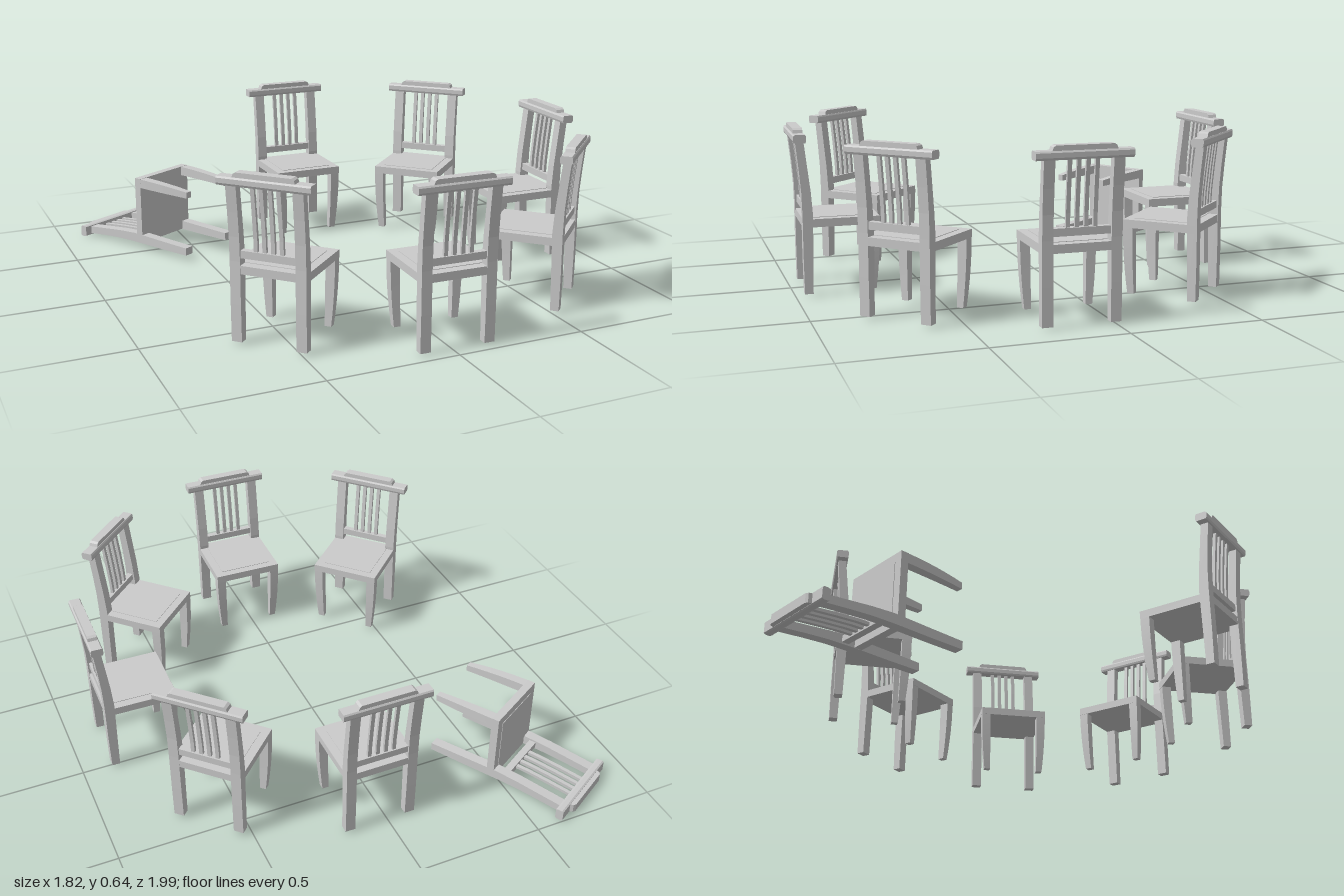
import * as THREE from 'three';

const material = new THREE.MeshStandardMaterial({ color: 0xcccccc });

function addPart(group, name, geometry, x = 0, y = 0, z = 0) {
  const mesh = new THREE.Mesh(geometry, material);
  mesh.name = name;
  mesh.position.set(x, y, z);
  group.add(mesh);
}

// Box given by its spans in y and z, centred on x
function span(width, y0, y1, z0, z1) {
  return new THREE.BoxGeometry(width, y1 - y0, z1 - z0).translate(0, (y0 + y1) / 2, (z0 + z1) / 2);
}

// Side outline of [y, back z, front z] rows, extruded across x
function sideProfile(rows, width) {
  const back = rows.map(([y, b]) => new THREE.Vector2(b, y));
  const front = rows.map(([y, , f]) => new THREE.Vector2(f, y)).reverse();
  const geometry = new THREE.ExtrudeGeometry(new THREE.Shape([...back, ...front]), {
    depth: width, bevelEnabled: false,
  });
  return geometry.rotateY(-Math.PI / 2).translate(width / 2, 0, 0);
}

// Front leg whose outer faces sweep inward toward the foot
function frontLegGeometry(side) {
  const height = 0.275;
  const geometry = new THREE.BoxGeometry(1, height, 1, 1, 6, 1).translate(0, height / 2, 0);
  const p = geometry.attributes.position;
  for (let i = 0; i < p.count; i++) {
    const k = (1 - p.getY(i) / height) ** 2;
    const outer = 0.015 * k, inner = 0.003 * k;
    p.setX(i, side * (p.getX(i) * side > 0 ? 0.145 - outer : 0.107 - inner));
    p.setZ(i, p.getZ(i) > 0 ? 0.152 - outer : 0.114 - inner);
  }
  geometry.computeVertexNormals();
  return geometry;
}

function makeChair(name) {
  const chair = new THREE.Group();
  chair.name = name;

  // Seat frame with a nearly flush panel
  addPart(chair, 'seat', span(0.29, 0.255, 0.286, -0.136, 0.153));
  addPart(chair, 'seatPanel', span(0.222, 0.27, 0.288, -0.1, 0.12));

  // Legs and back posts
  const postRows = [
    [0, -0.137, -0.105], [0.14, -0.138, -0.102], [0.3, -0.137, -0.098],
    [0.39, -0.139, -0.104], [0.48, -0.146, -0.114], [0.58, -0.156, -0.125],
  ];
  for (const side of [-1, 1]) {
    addPart(chair, 'frontLeg', frontLegGeometry(side));
    addPart(chair, 'backPost', sideProfile(postRows, 0.04), side * 0.125);
  }

  // Back rail and slats
  addPart(chair, 'backRail', span(0.22, 0.312, 0.34, -0.131, -0.107));
  const slatRows = [
    [0.335, -0.125, -0.113], [0.39, -0.127, -0.115], [0.48, -0.135, -0.123], [0.58, -0.146, -0.134],
  ];
  for (let i = 0; i < 4; i++) {
    addPart(chair, 'slat', sideProfile(slatRows, 0.015), (i - 1.5) * 0.033);
  }

  // Crest rail with a slightly chamfered side profile
  addPart(chair, 'crestRail', sideProfile([
    [0.577, -0.161, -0.121], [0.585, -0.165, -0.118], [0.602, -0.165, -0.118], [0.608, -0.161, -0.122],
  ], 0.352));

  // Raised crown with sloped ends
  const crown = new THREE.Shape([
    [-0.118, 0.605], [0.118, 0.605], [0.113, 0.62], [0.104, 0.626], [-0.104, 0.626], [-0.113, 0.62],
  ].map(([x, y]) => new THREE.Vector2(x, y)));
  addPart(chair, 'crown', new THREE.ExtrudeGeometry(crown, { depth: 0.036, bevelEnabled: false }), 0, 0, -0.16);
  return chair;
}

export function createModel() {
  const model = new THREE.Group();
  model.name = 'chairCircle';

  // Upright chairs: x, z and facing direction
  const places = [
    [0.034, -0.588, 0, 1],
    [0.54, -0.377, -0.71, 0.705],
    [0.743, 0.127, -1, -0.02],
    [0.526, 0.628, -0.7, -0.71],
    [0.016, 0.826, 0.028, -1],
    [-0.487, 0.597, 0.725, -0.69],
  ];
  for (const [x, z, fx, fz] of places) {
    const chair = makeChair('uprightChair');
    chair.position.set(x, 0.01, z);
    chair.rotation.y = Math.atan2(fx, fz);
    model.add(chair);
  }

  // Chair tipped over on its back
  const fallen = makeChair('fallenChair');
  fallen.rotation.order = 'YXZ';
  fallen.rotation.set(-Math.PI / 2 + 0.012, Math.PI / 6, 0);
  fallen.position.set(-0.455, 0.158, -0.382);
  model.add(fallen);
  return model;
}
